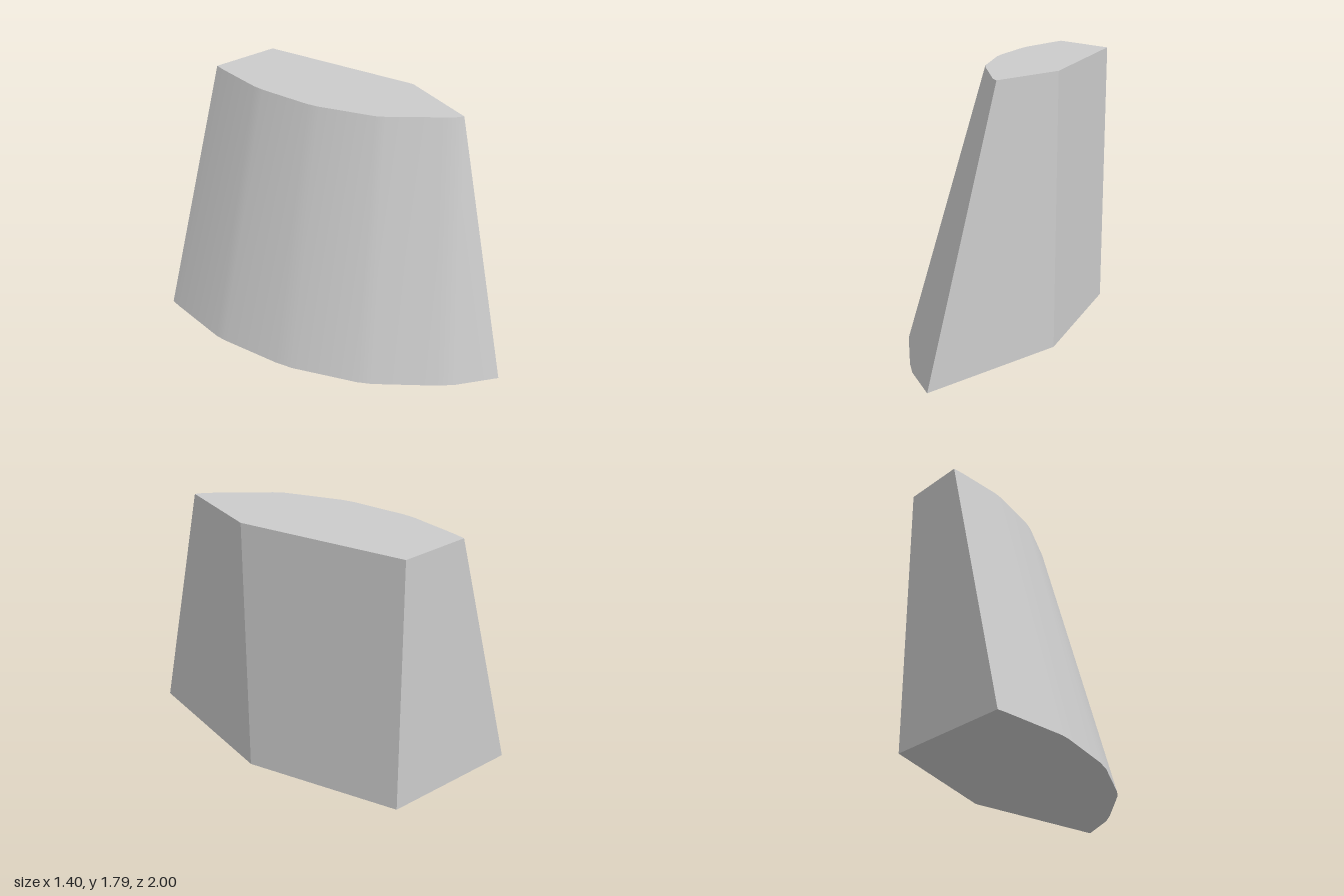
import * as THREE from 'three';
import { toCreasedNormals } from 'three/addons/utils/BufferGeometryUtils.js';

const HEIGHT = 1.79;

// Straight back corners shared by both outlines
const back = [[0.7, -0.05], [0.23, -1]];

// Outlines as [x, z], running along the curved front from back-right to front-left
const lower = [
  [-0.7, -1], [-0.695, -0.93], [-0.64, -0.48], [-0.62, -0.41], [-0.45, 0], [-0.39, 0.11],
  [-0.11, 0.48], [-0.04, 0.55], [0.3, 0.81], [0.41, 0.88], [0.7, 1], ...back,
];
const upper = [
  [-0.21, -1], [-0.205, -0.93], [-0.16, -0.62], [-0.14, -0.55], [-0.01, -0.23], [0.03, -0.16],
  [0.25, 0.14], [0.3, 0.185], [0.58, 0.39], [0.64, 0.435], [0.7, 0.46], ...back,
];

// Solid between two outlines with the same number of corners
function loft(bottom, top, height) {
  const n = bottom.length;
  const positions = [];
  bottom.forEach(([x, z]) => positions.push(x, 0, z));
  top.forEach(([x, z]) => positions.push(x, height, z));

  const index = [];
  for (let i = 0; i < n; i++) {
    const j = (i + 1) % n;
    index.push(i, j, n + j, i, n + j, n + i);
  }
  // Caps fan out from the last back corner
  for (let i = 0; i < n - 2; i++) {
    index.push(n - 1, i + 1, i);
    index.push(2 * n - 1, n + i, n + i + 1);
  }

  const geometry = new THREE.BufferGeometry();
  geometry.setAttribute('position', new THREE.Float32BufferAttribute(positions, 3));
  geometry.setIndex(index);
  return toCreasedNormals(geometry, THREE.MathUtils.degToRad(25));
}

export function createModel() {
  const group = new THREE.Group();
  group.name = 'taperedCornerBlock';
  const material = new THREE.MeshStandardMaterial({ color: 0xcccccc });

  // Block with a sloping curved front and upright back
  const block = new THREE.Mesh(loft(lower, upper, HEIGHT), material);
  block.name = 'block';
  group.add(block);
  return group;
}
